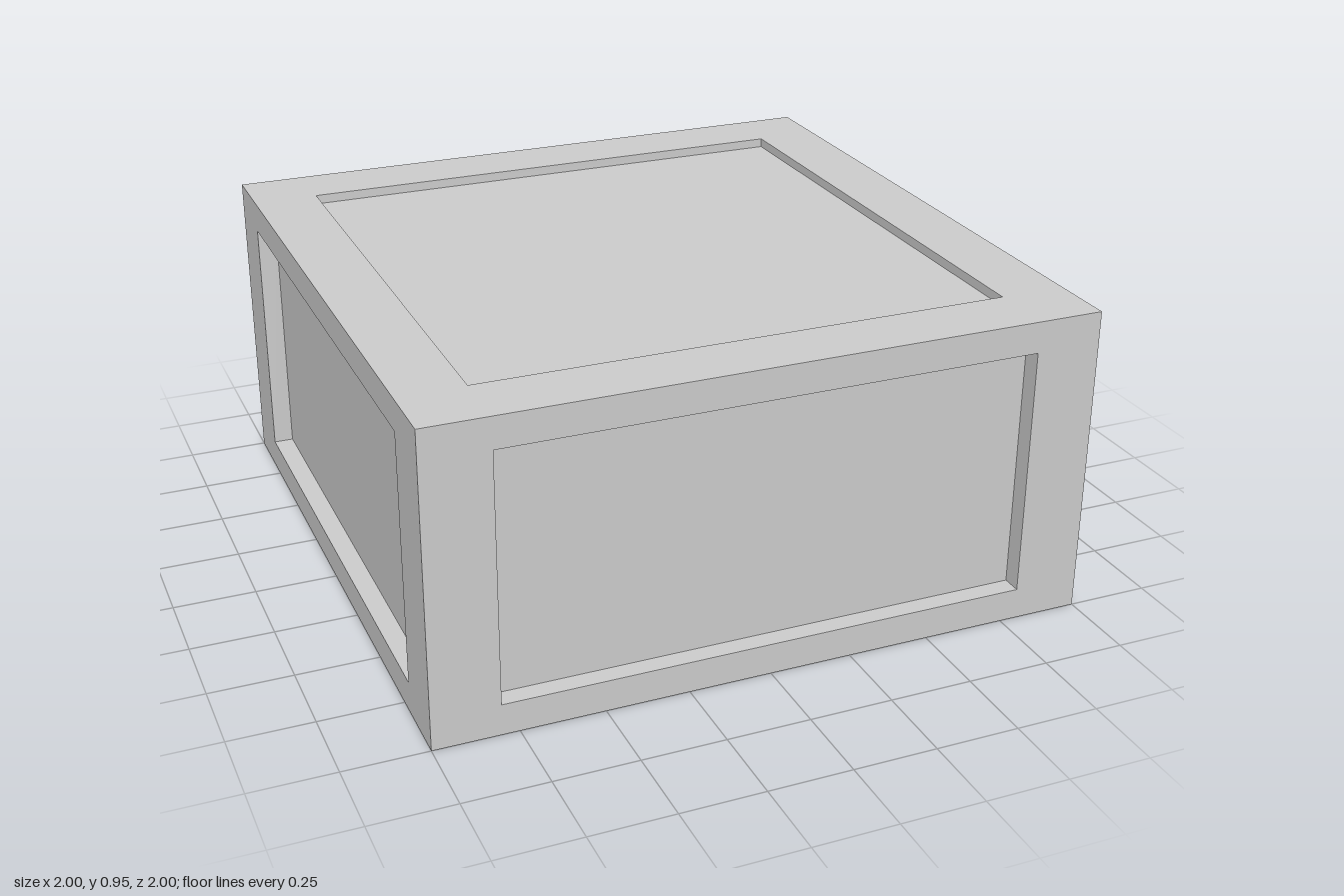
import * as THREE from 'three';

const HEIGHT = 0.95;  // overall height, width and depth are 2
const OPENING = 0.8;  // half-width of each recess
const DEPTH = 0.06;   // recess depth

// One face of a 2-unit cube, facing +y: square rim, recess walls and sunken panel
function recessedFace() {
  const r = Math.SQRT2;
  const profile = [
    new THREE.Vector2(r, 1),
    new THREE.Vector2(OPENING * r, 1),
    new THREE.Vector2(OPENING * r, 1 - DEPTH),
    new THREE.Vector2(0, 1 - DEPTH),
  ];
  return new THREE.LatheGeometry(profile, 4, Math.PI / 4).toNonIndexed();
}

export function createModel() {
  const group = new THREE.Group();
  group.name = 'panelledBlock';
  const material = new THREE.MeshStandardMaterial({ color: 0xcccccc, flatShading: true });

  // Turn the face to each side of the block
  const q = Math.PI / 2;
  const faces = [
    ['topPanel', 0, 0],
    ['bottomPanel', Math.PI, 0],
    ['frontPanel', q, 0],
    ['backPanel', -q, 0],
    ['leftPanel', 0, -q],
    ['rightPanel', 0, q],
  ];
  for (const [name, rx, rz] of faces) {
    const geometry = recessedFace();
    geometry.rotateX(rx).rotateZ(rz);
    // Squash the cube to its height and stand it on the floor
    geometry.scale(1, HEIGHT / 2, 1).translate(0, HEIGHT / 2, 0);
    geometry.computeVertexNormals();
    const mesh = new THREE.Mesh(geometry, material);
    mesh.name = name;
    group.add(mesh);
  }
  return group;
}
